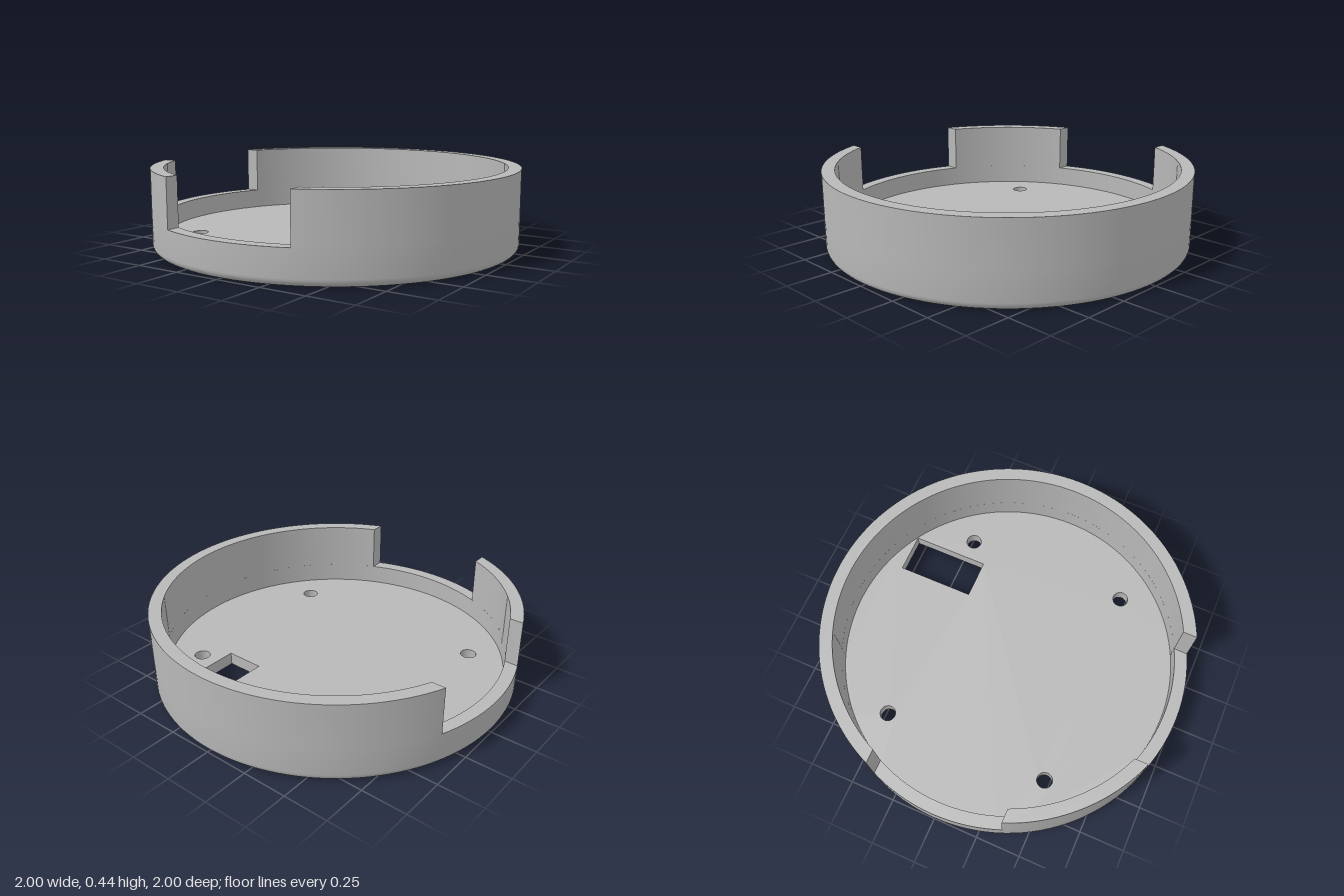
import * as THREE from 'three';
import { toCreasedNormals } from 'three/addons/utils/BufferGeometryUtils.js';

const OUTER = 1, INNER = 0.93;
const FLOOR = 0.07, LEDGE = 0.18, TOP = 0.44;
const FILLET = 0.04, NOTCH = 0.37; // notch half width

export function createModel() {
  const group = new THREE.Group();
  const grey = new THREE.MeshStandardMaterial({ color: 0xb8b8b8 });
  grey.name = 'grey plastic';

  const add = (name, geometry) => {
    const mesh = new THREE.Mesh(toCreasedNormals(geometry, 0.6), grey);
    mesh.name = name;
    group.add(mesh);
  };

  // Extrudes a plan outline (shape y = -z) upwards from y0 to y1
  const slab = (shape, y0, y1, curveSegments) =>
    new THREE.ExtrudeGeometry(shape, { depth: y1 - y0, bevelEnabled: false, curveSegments })
      .rotateX(-Math.PI / 2)
      .translate(0, y0, 0);

  // Floor disc with four screw holes and a rectangular cable opening
  const floor = new THREE.Shape().absarc(0, 0, INNER, 0, Math.PI * 2, false);
  for (const [x, z] of [[-0.585, -0.478], [0.582, -0.478], [-0.582, 0.47], [0.582, 0.466]]) {
    floor.holes.push(new THREE.Path().absarc(x, -z, 0.043, 0, Math.PI * 2, true));
  }
  floor.holes.push(new THREE.Path([
    [0.253, 0.365], [0.253, 0.799], [0.469, 0.799], [0.469, 0.365],
  ].map(([x, y]) => new THREE.Vector2(x, y))));
  add('floor', slab(floor, 0, FLOOR, 128));

  // Continuous lower wall with a rounded bottom edge
  const profile = [new THREE.Vector2(INNER, 0)];
  for (let i = 0; i <= 6; i++) {
    const a = (i / 6) * Math.PI / 2;
    profile.push(new THREE.Vector2(
      OUTER - FILLET + FILLET * Math.sin(a), FILLET - FILLET * Math.cos(a)));
  }
  profile.push(
    new THREE.Vector2(OUTER, LEDGE),
    new THREE.Vector2(INNER, LEDGE),
    new THREE.Vector2(INNER, FLOOR));
  add('lowerWall', new THREE.LatheGeometry(profile, 128));

  // Upper wall sections, with straight-cut ends beside the two notches
  const dOut = Math.asin(NOTCH / OUTER), dIn = Math.asin(NOTCH / INNER);
  const upperWall = (name, from, to, segments) => {
    const shape = new THREE.Shape()
      .absarc(0, 0, OUTER, from + dOut, to - dOut, false)
      .absarc(0, 0, INNER, to - dIn, from + dIn, true);
    add(name, slab(shape, LEDGE, TOP, segments));
  };
  upperWall('longUpperWall', -Math.PI / 2, Math.PI, 96);
  upperWall('shortUpperWall', Math.PI, Math.PI * 1.5, 24);

  return group;
}
